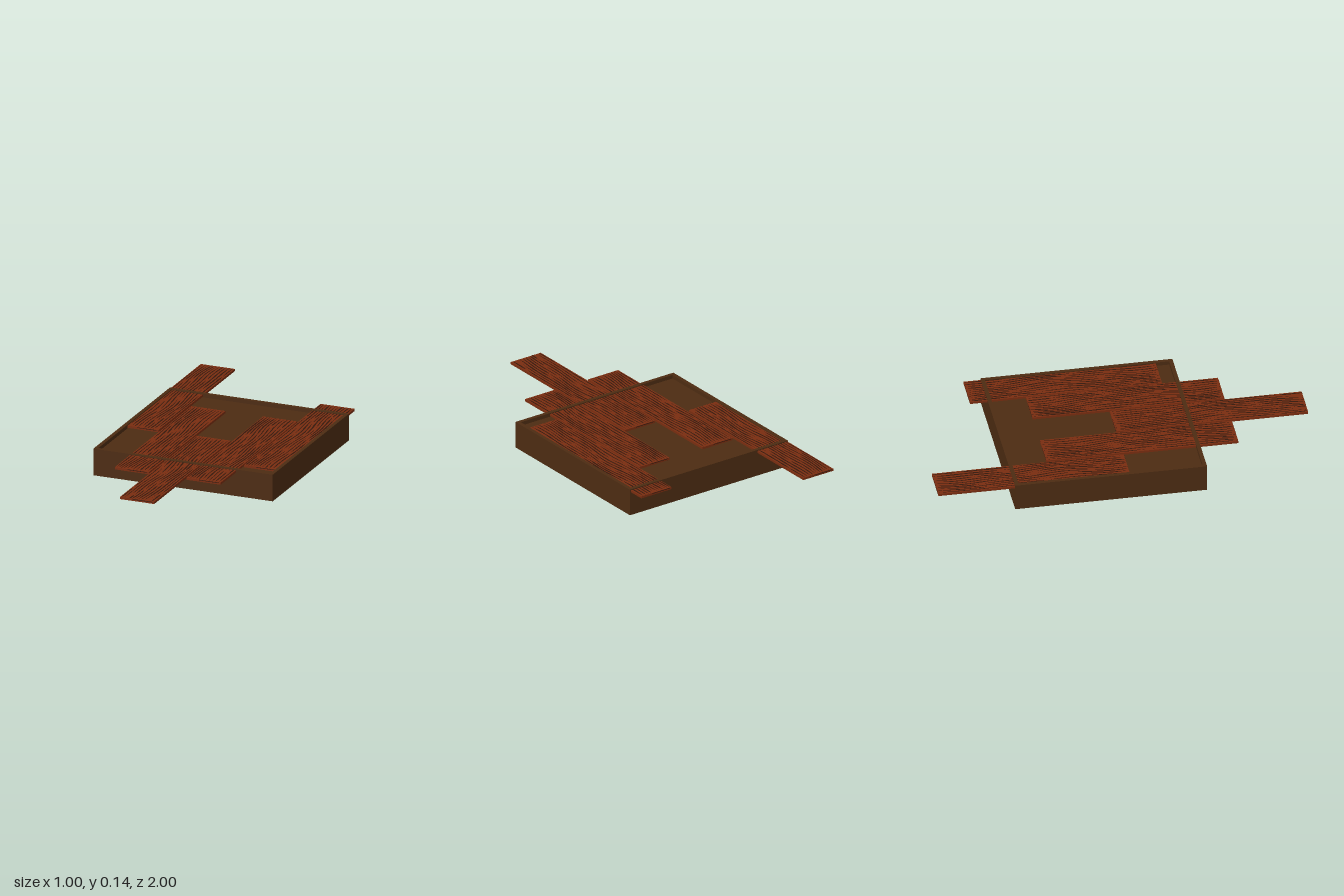
import * as THREE from 'three';
import { mergeGeometries } from 'three/addons/utils/BufferGeometryUtils.js';

const WIDTH = 0.19, LENGTH = 1, THICK = 0.012, PLANK_Y = 0.134;

function seeded(seed) {
  return () => (seed = (seed * 16807) % 2147483647) / 2147483647;
}

// Flat wavy strip along z, tapering to a point at both ends
function grainStrip(x, z0, z1, width, y, bend) {
  const steps = Math.max(8, Math.ceil((z1 - z0) * 50));
  const pos = [], index = [];
  for (let i = 0; i <= steps; i++) {
    const t = i / steps, z = z0 + (z1 - z0) * t;
    const half = 0.5 * width * Math.min(1, 7 * t, 7 * (1 - t)) * (0.85 + 0.15 * Math.sin(z * 60 + x * 90));
    const c = x + bend(x, z);
    pos.push(c - half, y, z, c + half, y, z);
    if (i < steps) {
      const a = i * 2;
      index.push(a, a + 2, a + 1, a + 1, a + 2, a + 3);
    }
  }
  const g = new THREE.BufferGeometry();
  g.setAttribute('position', new THREE.Float32BufferAttribute(pos, 3));
  g.setIndex(index);
  g.computeVertexNormals();
  return g;
}

// Dark grain on the top and underside of one plank
function grainGeometry(seed) {
  const rand = seeded(seed * 7919 + 17), strips = [], lanes = 11;
  const p = rand() * 6, q = rand() * 6;
  // Sway fades out at the plank's long edges so the grain stays on the wood
  const bend = (x, z) => Math.cos((x / WIDTH) * Math.PI) *
    (0.011 * Math.sin(z * 7 + p) + 0.005 * Math.sin(z * 17 + q + x * 20));
  for (const y of [THICK / 2 + 0.0008, -THICK / 2 - 0.0008]) {
    for (let i = 0; i < lanes; i++) {
      const x = ((i + 0.5) / lanes - 0.5) * (WIDTH - 0.004);
      let z = -LENGTH / 2 - rand() * 0.15;
      while (z < LENGTH / 2 - 0.05) {
        const end = z + 0.2 + rand() * 0.4;
        strips.push(grainStrip(x, Math.max(z, -LENGTH / 2), Math.min(end, LENGTH / 2),
          0.006 + rand() * 0.004, y, bend));
        z = end - 0.01 + rand() * 0.03;
      }
    }
  }
  return mergeGeometries(strips);
}

export function createModel() {
  const model = new THREE.Group();
  const trayMat = new THREE.MeshStandardMaterial({ color: 0x4d2c12 });
  const woodMat = new THREE.MeshStandardMaterial({ color: 0x7a2d10 });
  const grainMat = new THREE.MeshStandardMaterial({ color: 0x34170a, side: THREE.DoubleSide });

  const addBox = (parent, name, mat, size, at) => {
    const mesh = new THREE.Mesh(new THREE.BoxGeometry(...size), mat);
    mesh.name = name;
    mesh.position.set(...at);
    parent.add(mesh);
  };

  // Shallow tray: a solid block with a thin raised rim
  const tray = new THREE.Group();
  tray.name = 'tray';
  tray.position.z = -0.1;
  const shape = new THREE.Shape([[-0.5, -0.5], [0.5, -0.5], [0.5, 0.5], [-0.5, 0.5]].map(c => new THREE.Vector2(...c)));
  const r = 0.48;
  shape.holes.push(new THREE.Path([[-r, -r], [-r, r], [r, r], [r, -r]].map(c => new THREE.Vector2(...c))));
  const rimGeo = new THREE.ExtrudeGeometry(shape, { depth: 0.02, bevelEnabled: false });
  rimGeo.rotateX(-Math.PI / 2);
  const rim = new THREE.Mesh(rimGeo, trayMat);
  rim.name = 'rim';
  rim.position.y = 0.125;
  tray.add(rim);
  addBox(tray, 'base', trayMat, [1, 0.125, 1], [0, 0.0625, 0]);
  model.add(tray);

  // Sliding planks: [x, z] of each centre
  const planks = [[-0.403, -0.5], [-0.2, 0.1], [0, 0.5], [0.2, 0.1], [0.397, -0.19]];
  planks.forEach(([x, z], i) => {
    const plank = new THREE.Group();
    plank.name = 'plank' + (i + 1);
    plank.position.set(x, PLANK_Y, z);
    addBox(plank, 'board', woodMat, [WIDTH, THICK, LENGTH], [0, 0, 0]);
    const grain = new THREE.Mesh(grainGeometry(i + 1), grainMat);
    grain.name = 'grain';
    plank.add(grain);
    // Dark end grain
    for (const s of [-1, 1]) {
      addBox(plank, 'endGrain', grainMat, [0.11, 0.003, 0.002], [s * 0.03, 0.003, s * LENGTH / 2]);
    }
    model.add(plank);
  });
  return model;
}
